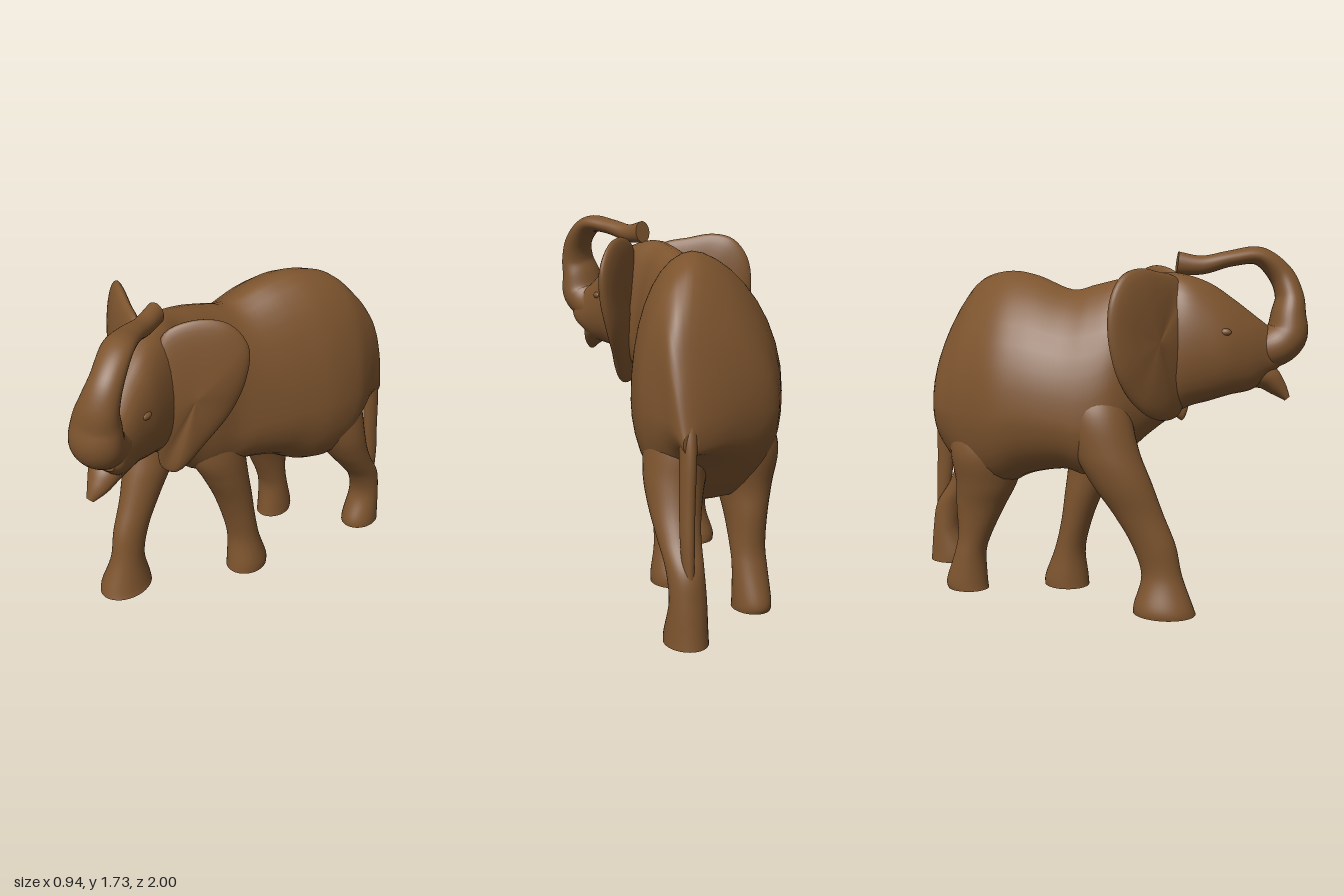
import * as THREE from 'three';

const V = (x, y, z) => new THREE.Vector3(x, y, z);
const SIDES = 36;

// Catmull-Rom blend through rows of numbers, for any number of columns
function smooth(rows, steps = 6) {
  const out = [];
  const at = i => rows[Math.min(rows.length - 1, Math.max(0, i))];
  for (let i = 0; i < rows.length - 1; i++) {
    for (let s = 0; s < steps; s++) {
      const t = s / steps, a = at(i - 1), b = at(i), c = at(i + 1), d = at(i + 2);
      out.push(b.map((_, k) => 0.5 * (2 * b[k] + (c[k] - a[k]) * t
        + (2 * a[k] - 5 * b[k] + 4 * c[k] - d[k]) * t * t
        + (3 * b[k] - a[k] - 3 * c[k] + d[k]) * t * t * t)));
    }
  }
  out.push(rows[rows.length - 1]);
  return out;
}

// Closed skin over a list of rings, with creased end caps, wound outward
function loft(rings) {
  const n = rings[0].length, pts = rings.flat(), idx = [];
  for (let r = 0; r < rings.length - 1; r++) {
    for (let i = 0; i < n; i++) {
      const a = r * n + i, b = r * n + (i + 1) % n;
      idx.push(a, b, b + n, a, b + n, a + n);
    }
  }
  [rings[0], rings[rings.length - 1]].forEach((ring, end) => {
    const base = pts.length;
    const mid = ring.reduce((s, p) => s.add(p), V(0, 0, 0)).divideScalar(n);
    pts.push(...ring, mid);
    for (let i = 0; i < n; i++) {
      const a = base + i, b = base + (i + 1) % n;
      idx.push(...(end ? [a, b, base + n] : [b, a, base + n]));
    }
  });
  let volume = 0;
  for (let i = 0; i < idx.length; i += 3) {
    volume += pts[idx[i]].dot(V(0, 0, 0).crossVectors(pts[idx[i + 1]], pts[idx[i + 2]]));
  }
  if (volume < 0) idx.reverse();
  const geo = new THREE.BufferGeometry().setFromPoints(pts);
  geo.setIndex(idx);
  geo.computeVertexNormals();
  return geo;
}

const ringOf = fn => Array.from({ length: SIDES }, (_, i) => fn(i / SIDES * Math.PI * 2));

// Torso and head: rows of z, xMin, xMax, spine x, top, bottom, height of widest point, ridge sharpness
function torso(rows) {
  return loft(smooth(rows).map(([z, x0, x1, spine, top, bottom, mid, ridge]) => ringOf(t => {
    const c = Math.cos(t), s = Math.sin(t), half = (x1 - x0) / 2, cx = (x0 + x1) / 2;
    const power = s > 0 ? ridge : 0.75;
    const x = cx + Math.sign(c) * half * Math.abs(c) ** power + (s > 0 ? (spine - cx) * s * s : 0);
    return V(x, mid + s * (s > 0 ? top - mid : mid - bottom), z);
  })));
}

// Limbs: rows of x, y, z, half width, half depth, with level cross-sections
function limb(rows) {
  return loft(smooth(rows).map(([x, y, z, rx, rz]) =>
    ringOf(t => V(x + rx * Math.cos(t), y, z + rz * Math.sin(t)))));
}

// Bent tubes: same rows, with cross-sections square to the path
function bent(rows) {
  const dense = smooth(rows), centres = dense.map(r => V(r[0], r[1], r[2]));
  return loft(dense.map((r, i) => {
    const dir = centres[Math.min(i + 1, centres.length - 1)].clone()
      .sub(centres[Math.max(i - 1, 0)]).normalize();
    const side = V(1, 0, -0.25);
    side.addScaledVector(dir, -dir.dot(side)).normalize();
    const up = dir.clone().cross(side);
    return ringOf(t => centres[i].clone().addScaledVector(side, r[3] * Math.cos(t))
      .addScaledVector(up, r[4] * Math.sin(t)));
  }));
}

// Ears: a rounded pad inside a closed rim curve
function ear(rim, normal, thick) {
  const edge = new THREE.CatmullRomCurve3(rim.map(p => V(...p)), true).getPoints(60).slice(0, 60);
  const mid = edge.reduce((s, p) => s.add(p), V(0, 0, 0)).divideScalar(edge.length);
  const n = V(...normal).normalize(), rings = [];
  for (let k = 0; k <= 18; k++) {
    const a = 0.02 + (Math.PI - 0.04) * k / 18;
    rings.push(edge.map(p => mid.clone().lerp(p, Math.sin(a) ** 0.75)
      .addScaledVector(n, thick * Math.cos(a))));
  }
  return loft(rings);
}

export function createModel() {
  const group = new THREE.Group();
  const hide = new THREE.MeshStandardMaterial({ color: 0x7d542e });
  hide.name = 'brown hide';
  const add = (name, geo) => {
    const mesh = new THREE.Mesh(geo, hide);
    mesh.name = name;
    group.add(mesh);
    return mesh;
  };

  add('bodyAndHead', torso([
    [-0.925, 0.33, 0.4, 0.36, 0.92, 0.82, 0.87, 1],
    [-0.875, 0.13, 0.42, 0.34, 1.12, 0.8, 0.93, 1.05],
    [-0.8, -0.08, 0.435, 0.31, 1.33, 0.73, 0.95, 1.1],
    [-0.7, -0.17, 0.46, 0.25, 1.485, 0.61, 0.96, 1.15],
    [-0.6, -0.23, 0.47, 0.2, 1.57, 0.53, 0.97, 1.2],
    [-0.45, -0.31, 0.435, 0.14, 1.605, 0.55, 0.97, 1.15],
    [-0.3, -0.34, 0.36, 0.09, 1.585, 0.63, 0.97, 1.15],
    [-0.12, -0.35, 0.26, 0.03, 1.525, 0.67, 0.95, 1.15],
    [0.0, -0.35, 0.2, 0, 1.55, 0.65, 0.93, 1.15],
    [0.12, -0.32, 0.17, -0.02, 1.58, 0.7, 0.98, 1.1],
    [0.24, -0.24, 0.14, -0.03, 1.6, 0.82, 1.1, 1],
    [0.35, -0.2, 0.15, -0.02, 1.615, 0.91, 1.22, 0.85],
    [0.45, -0.2, 0.17, -0.01, 1.6, 0.98, 1.26, 0.8],
    [0.55, -0.18, 0.19, 0.02, 1.56, 1.01, 1.26, 0.85],
    [0.65, -0.14, 0.205, 0.05, 1.49, 1.04, 1.24, 0.9],
    [0.75, -0.06, 0.225, 0.09, 1.41, 1.06, 1.22, 0.95],
    [0.83, 0.03, 0.25, 0.14, 1.34, 1.12, 1.21, 1],
    [0.88, 0.08, 0.24, 0.15, 1.27, 1.17, 1.21, 1]]));

  add('trunk', bent([
    [0.07, 1.24, 0.62, 0.09, 0.09], [0.13, 1.25, 0.81, 0.11, 0.1],
    [0.165, 1.31, 0.895, 0.122, 0.102], [0.18, 1.41, 0.905, 0.11, 0.083],
    [0.2, 1.5, 0.905, 0.09, 0.067], [0.205, 1.6, 0.86, 0.074, 0.058],
    [0.17, 1.685, 0.76, 0.07, 0.044], [0.11, 1.675, 0.63, 0.056, 0.038],
    [0.06, 1.645, 0.5, 0.046, 0.044], [0.03, 1.655, 0.385, 0.042, 0.054]]));

  add('lowerJaw', bent([
    [0.08, 1.15, 0.64, 0.1, 0.08], [0.115, 1.125, 0.79, 0.085, 0.068],
    [0.125, 1.065, 0.865, 0.055, 0.045], [0.12, 1.01, 0.915, 0.018, 0.015]]));

  // Legs in mid-stride
  add('rightFrontLeg', limb([
    [-0.235, 0.015, 0.38, 0.115, 0.15], [-0.24, 0.06, 0.375, 0.108, 0.14],
    [-0.23, 0.2, 0.365, 0.075, 0.097], [-0.235, 0.35, 0.325, 0.075, 0.105],
    [-0.24, 0.5, 0.25, 0.086, 0.12], [-0.25, 0.65, 0.17, 0.108, 0.145],
    [-0.25, 0.8, 0.1, 0.118, 0.155], [-0.215, 1.0, 0.05, 0.13, 0.15],
    [-0.13, 1.2, 0.03, 0.1, 0.1]]));
  add('leftFrontLeg', limb([
    [0.12, 0.005, -0.175, 0.1, 0.115], [0.12, 0.06, -0.175, 0.1, 0.11],
    [0.11, 0.2, -0.155, 0.088, 0.078], [0.1, 0.35, -0.12, 0.095, 0.077],
    [0.09, 0.5, -0.08, 0.105, 0.095], [0.08, 0.65, -0.03, 0.112, 0.125],
    [0.055, 0.8, 0.01, 0.125, 0.16], [0.02, 1.0, 0.02, 0.12, 0.16],
    [0, 1.2, 0.02, 0.09, 0.12]]));
  add('rightRearLeg', limb([
    [-0.06, 0.015, -0.65, 0.085, 0.105], [-0.06, 0.06, -0.655, 0.085, 0.105],
    [-0.06, 0.2, -0.635, 0.08, 0.08], [-0.06, 0.3, -0.61, 0.08, 0.085],
    [-0.065, 0.45, -0.575, 0.095, 0.123], [-0.07, 0.58, -0.54, 0.125, 0.155],
    [-0.06, 0.75, -0.53, 0.165, 0.19], [0, 0.95, -0.53, 0.16, 0.18]]));
  add('leftRearLeg', limb([
    [0.37, 0.015, -0.885, 0.092, 0.115], [0.37, 0.06, -0.885, 0.09, 0.11],
    [0.37, 0.2, -0.905, 0.08, 0.076], [0.37, 0.33, -0.875, 0.08, 0.084],
    [0.36, 0.45, -0.79, 0.095, 0.094], [0.345, 0.56, -0.72, 0.115, 0.115],
    [0.325, 0.68, -0.67, 0.135, 0.14], [0.29, 0.82, -0.64, 0.15, 0.17],
    [0.24, 1.0, -0.6, 0.16, 0.18]]));

  add('tail', limb([
    [0.34, 1.12, -0.82, 0.03, 0.03], [0.355, 0.97, -0.87, 0.035, 0.04],
    [0.365, 0.83, -0.895, 0.033, 0.05], [0.375, 0.6, -0.908, 0.03, 0.045],
    [0.38, 0.45, -0.922, 0.028, 0.04], [0.38, 0.28, -0.935, 0.02, 0.03]]));

  add('leftEar', ear([
    [0.09, 1.585, 0.4], [0.18, 1.635, 0.29], [0.28, 1.61, 0.19], [0.345, 1.5, 0.135],
    [0.34, 1.35, 0.14], [0.29, 1.18, 0.18], [0.22, 1.03, 0.27], [0.14, 0.89, 0.39],
    [0.08, 0.9, 0.42], [0.08, 1.02, 0.45], [0.09, 1.2, 0.46], [0.08, 1.45, 0.45]],
  [0.75, -0.1, 0.65], 0.05));
  add('rightEar', ear([
    [-0.08, 1.59, 0.4], [-0.2, 1.625, 0.33], [-0.31, 1.645, 0.26], [-0.39, 1.62, 0.2],
    [-0.45, 1.53, 0.16], [-0.47, 1.38, 0.15], [-0.45, 1.2, 0.18], [-0.39, 1.07, 0.23],
    [-0.31, 0.98, 0.3], [-0.2, 0.94, 0.37], [-0.09, 0.96, 0.42], [-0.08, 1.1, 0.45],
    [-0.09, 1.3, 0.45], [-0.08, 1.5, 0.43]],
  [-0.6, -0.1, 0.8], 0.055));

  // Small eyelid bumps
  for (const [name, x, y, z] of [['leftEye', 0.19, 1.32, 0.63], ['rightEye', -0.125, 1.35, 0.63]]) {
    const eye = add(name, new THREE.SphereGeometry(0.025, 16, 10));
    eye.position.set(x, y, z);
    eye.scale.set(0.7, 0.7, 1.2);
  }
  return group;
}
